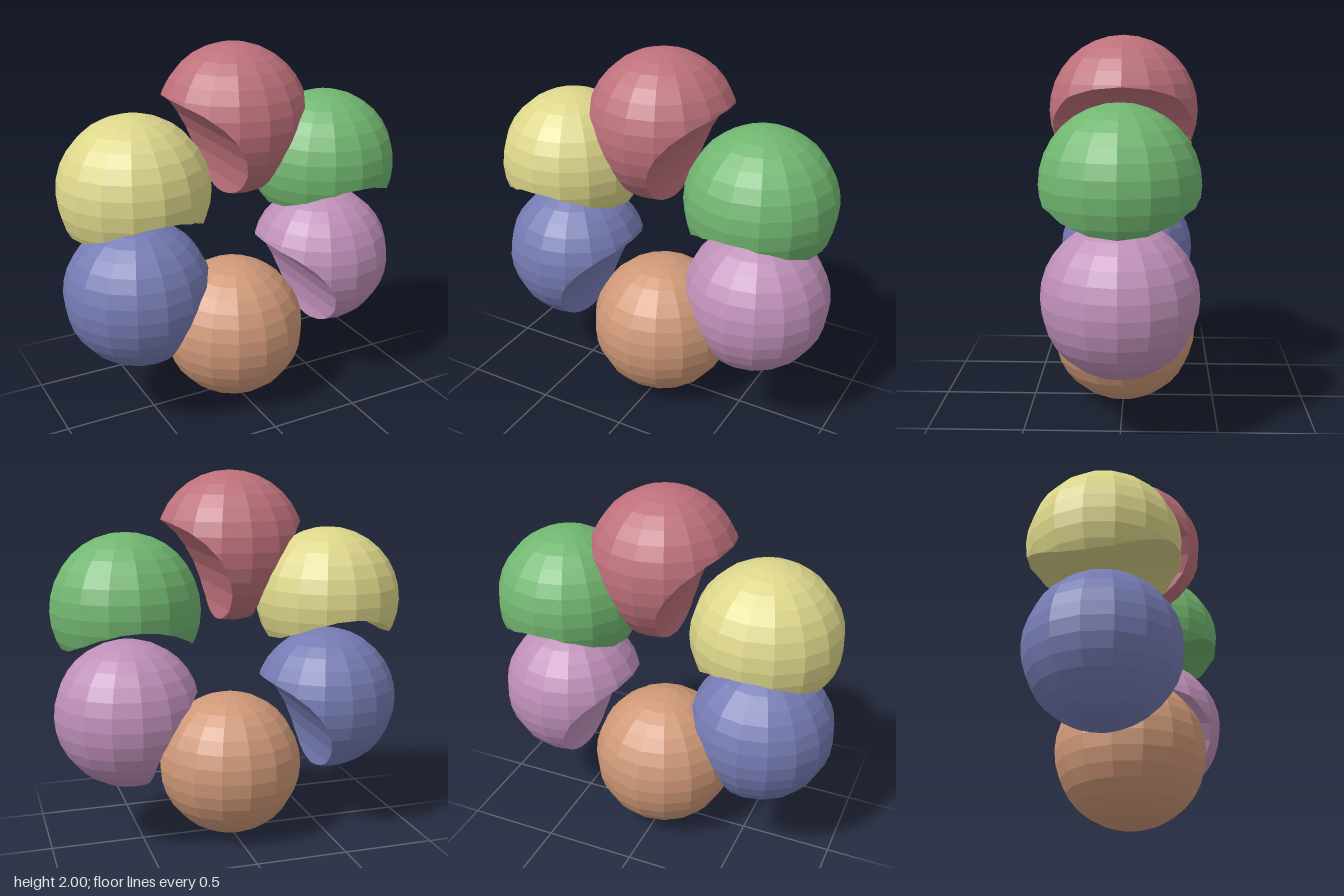
import * as THREE from 'three';

const R = 0.395, CUT_R = 0.495, CUT_SIDES = 32;

// Split a convex polygon by the plane n.p = d into outside and inside parts.
function split(poly, n, d) {
  const out = [], inn = [];
  poly.forEach((a, i) => {
    const b = poly[(i + 1) % poly.length];
    const da = n.dot(a) - d, db = n.dot(b) - d;
    if (da >= -1e-7) out.push(a);
    if (da <= 1e-7) inn.push(a);
    if ((da > 1e-7 && db < -1e-7) || (da < -1e-7 && db > 1e-7)) {
      const p = a.clone().lerp(b, da / (da - db));
      out.push(p);
      inn.push(p);
    }
  });
  return [out, inn];
}

// Carve a faceted cylinder along z, centred at (cx, cy), out of the polygons.
function carve(polys, cx, cy) {
  const apothem = CUT_R * Math.cos(Math.PI / CUT_SIDES);
  const planes = Array.from({ length: CUT_SIDES }, (_, i) => {
    const a = (i + 0.5) * 2 * Math.PI / CUT_SIDES;
    const n = new THREE.Vector3(Math.cos(a), Math.sin(a), 0);
    return { n, d: n.x * cx + n.y * cy + apothem, rim: [] };
  });
  const kept = [];
  for (const poly of polys) {
    let rest = poly;
    for (const { n, d } of planes) {
      const [out, inn] = split(rest, n, d);
      if (out.length > 2) kept.push(out);
      rest = inn;
      if (rest.length < 3) break;
    }
    if (rest.length < 3) continue;
    for (const pl of planes)
      for (const p of rest) if (Math.abs(pl.n.dot(p) - pl.d) < 1e-6) pl.rim.push(p);
  }
  // Each wall facet is the convex outline of the rim points on its plane.
  for (const { n, rim } of planes) {
    if (rim.length < 3) continue;
    const c = rim.reduce((s, p) => s.add(p), new THREE.Vector3()).divideScalar(rim.length);
    const angle = p => Math.atan2(p.z - c.z, (p.y - c.y) * n.x - (p.x - c.x) * n.y);
    // Sorted clockwise so the wall faces into the hollow.
    kept.push([...rim].sort((a, b) => angle(b) - angle(a)));
  }
  return kept;
}

// Faceted ball at (x, y) with scooped hollows at the given centres.
function ball(x, y, cuts) {
  const g = new THREE.SphereGeometry(R, 16, 16).toNonIndexed().translate(x, y, 0);
  const pos = g.attributes.position;
  let polys = [];
  for (let i = 0; i < pos.count; i += 3)
    polys.push([0, 1, 2].map(k => new THREE.Vector3().fromBufferAttribute(pos, i + k)));
  for (const [cx, cy] of cuts) polys = carve(polys, cx, cy);
  const pts = [];
  for (const p of polys)
    for (let i = 1; i < p.length - 1; i++) pts.push(p[0], p[i], p[i + 1]);
  const geo = new THREE.BufferGeometry().setFromPoints(pts);
  geo.computeVertexNormals(); // unshared corners give flat facets
  return geo;
}

export function createModel() {
  const group = new THREE.Group();
  const X = 0.565;
  const parts = [
    ['bottomBall', 'orange', 0xcf9878, 0, 0.397, []],
    ['lowerLeftBall', 'purple', 0xbe8fb8, X, 0.73, [[0, 0.412]]],
    ['lowerRightBall', 'blue', 0x757bb3, -X, 0.73, [[0, 0.412]]],
    ['upperLeftBall', 'green', 0x71b670, X, 1.295, [[X, 0.74]]],
    ['upperRightBall', 'yellow', 0xdcd68a, -X, 1.295, [[-X, 0.74]]],
    ['topBall', 'red', 0xbd707b, 0, 1.605, [[-X, 1.295], [X, 1.295]]],
  ];
  for (const [name, colour, hex, x, y, cuts] of parts) {
    const material = new THREE.MeshStandardMaterial({ color: hex });
    material.name = colour;
    const mesh = new THREE.Mesh(ball(x, y, cuts), material);
    mesh.name = name;
    group.add(mesh);
  }
  return group;
}
